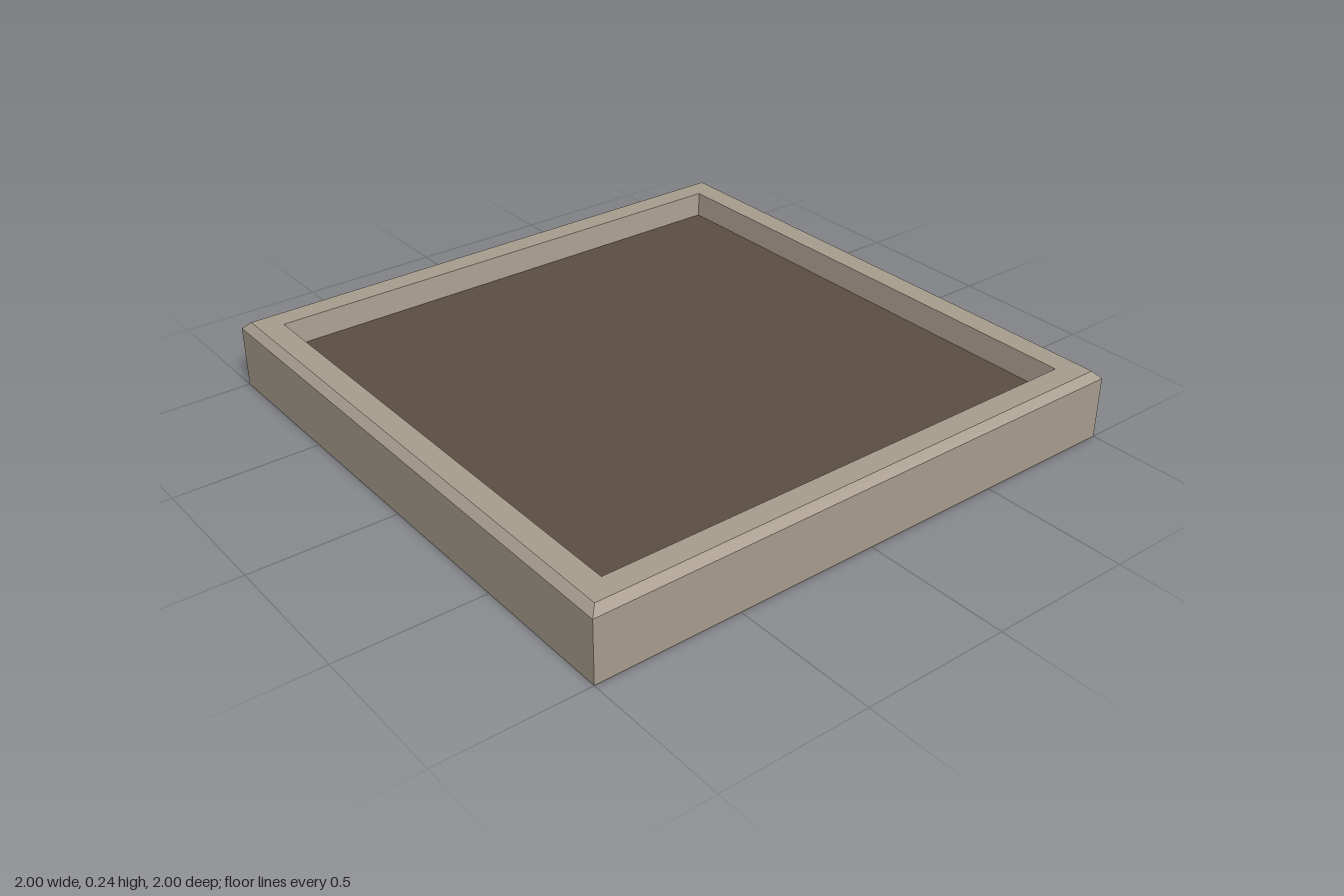
import * as THREE from 'three';

const frameMaterial = new THREE.MeshStandardMaterial({ color: 0xa89d8e, side: THREE.DoubleSide, flatShading: true });
frameMaterial.name = 'stone beige';
const floorMaterial = new THREE.MeshStandardMaterial({ color: 0x5c4e41, side: THREE.DoubleSide });
floorMaterial.name = 'dark brown';

const FLOOR_Y = 0.155;
const FLOOR_HALF = 0.885;

// Sweep a (half width, height) profile around a square plan
function squareSweep(profile) {
  const points = profile.map(([half, y]) => new THREE.Vector2(half * Math.SQRT2, y));
  const geometry = new THREE.LatheGeometry(points, 4, Math.PI / 4).toNonIndexed();
  geometry.computeVertexNormals();
  return geometry;
}

export function createModel() {
  const model = new THREE.Group();
  model.name = 'squareTray';

  // Hollow frame shell: outer wall, bevel, flat rim, slightly sloped inner wall
  const frame = new THREE.Mesh(squareSweep([
    [1, 0], [1, 0.215], [0.975, 0.24], [0.895, 0.24], [FLOOR_HALF, FLOOR_Y],
  ]), frameMaterial);
  frame.name = 'frame';
  model.add(frame);

  // Recessed floor panel, open underneath
  const panel = new THREE.PlaneGeometry(2 * FLOOR_HALF, 2 * FLOOR_HALF).rotateX(-Math.PI / 2);
  const floor = new THREE.Mesh(panel, floorMaterial);
  floor.name = 'floorPanel';
  floor.position.y = FLOOR_Y;
  model.add(floor);

  return model;
}
